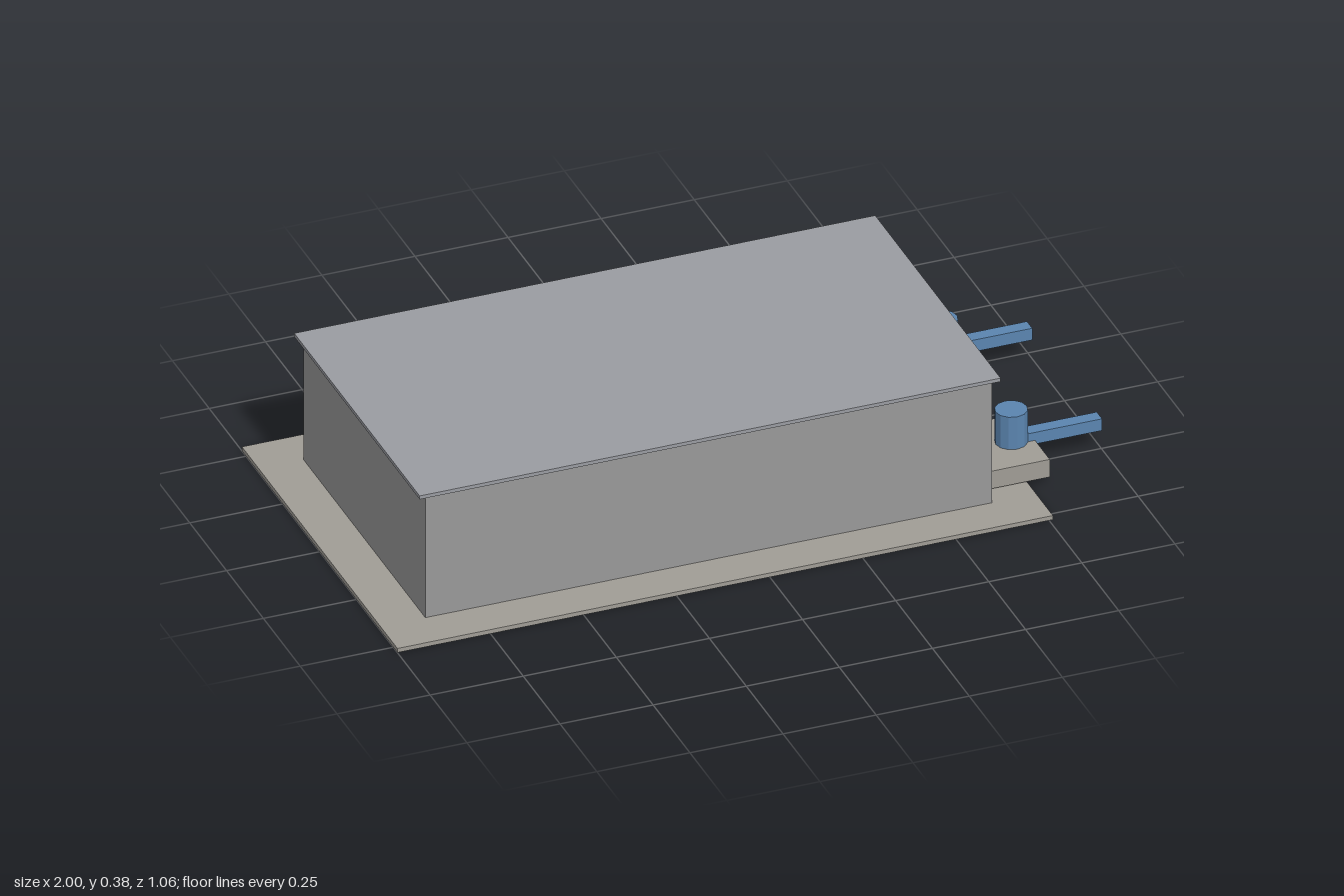
import * as THREE from 'three';

const material = (color) => new THREE.MeshStandardMaterial({ color, flatShading: true });

export function createModel() {
  const model = new THREE.Group();
  const concrete = material(0xa09d96);
  const wall = material(0x999999);
  const roof = material(0x9a9ca2);
  const door = material(0x7c8689);
  const blue = material(0x5b85b0);

  // Box given by its lower and upper corners
  function box(parent, name, mat, [x0, y0, z0], [x1, y1, z1]) {
    const mesh = new THREE.Mesh(new THREE.BoxGeometry(x1 - x0, y1 - y0, z1 - z0), mat);
    mesh.position.set((x0 + x1) / 2, (y0 + y1) / 2, (z0 + z1) / 2);
    mesh.name = name;
    parent.add(mesh);
  }

  // Building on its ground slab
  box(model, 'groundSlab', concrete, [-1, 0, -0.528], [0.76, 0.012, 0.528]);
  box(model, 'hallWalls', wall, [-0.88, 0.012, -0.414], [0.642, 0.367, 0.414]);
  box(model, 'roofSlab', roof, [-0.9, 0.367, -0.426], [0.66, 0.377, 0.426]);

  // Two bays with door, plinth, drum and arm
  for (const side of [1, -1]) {
    const bay = new THREE.Group();
    bay.name = side > 0 ? 'frontBay' : 'rearBay';
    bay.position.z = side * 0.237;
    box(bay, 'bayDoor', door, [0.636, 0.06, -0.111], [0.647, 0.249, 0.111]);
    box(bay, 'plinth', concrete, [0.64, 0.015, -0.118], [0.82, 0.066, 0.118]);

    const drum = new THREE.Mesh(new THREE.CylinderGeometry(0.042, 0.042, 0.094, 12), blue);
    drum.name = 'drum';
    drum.position.set(0.763, 0.113, 0);
    bay.add(drum);

    box(bay, 'arm', blue, [0.763, 0.055, -0.018], [1, 0.089, 0.018]);
    model.add(bay);
  }
  return model;
}
